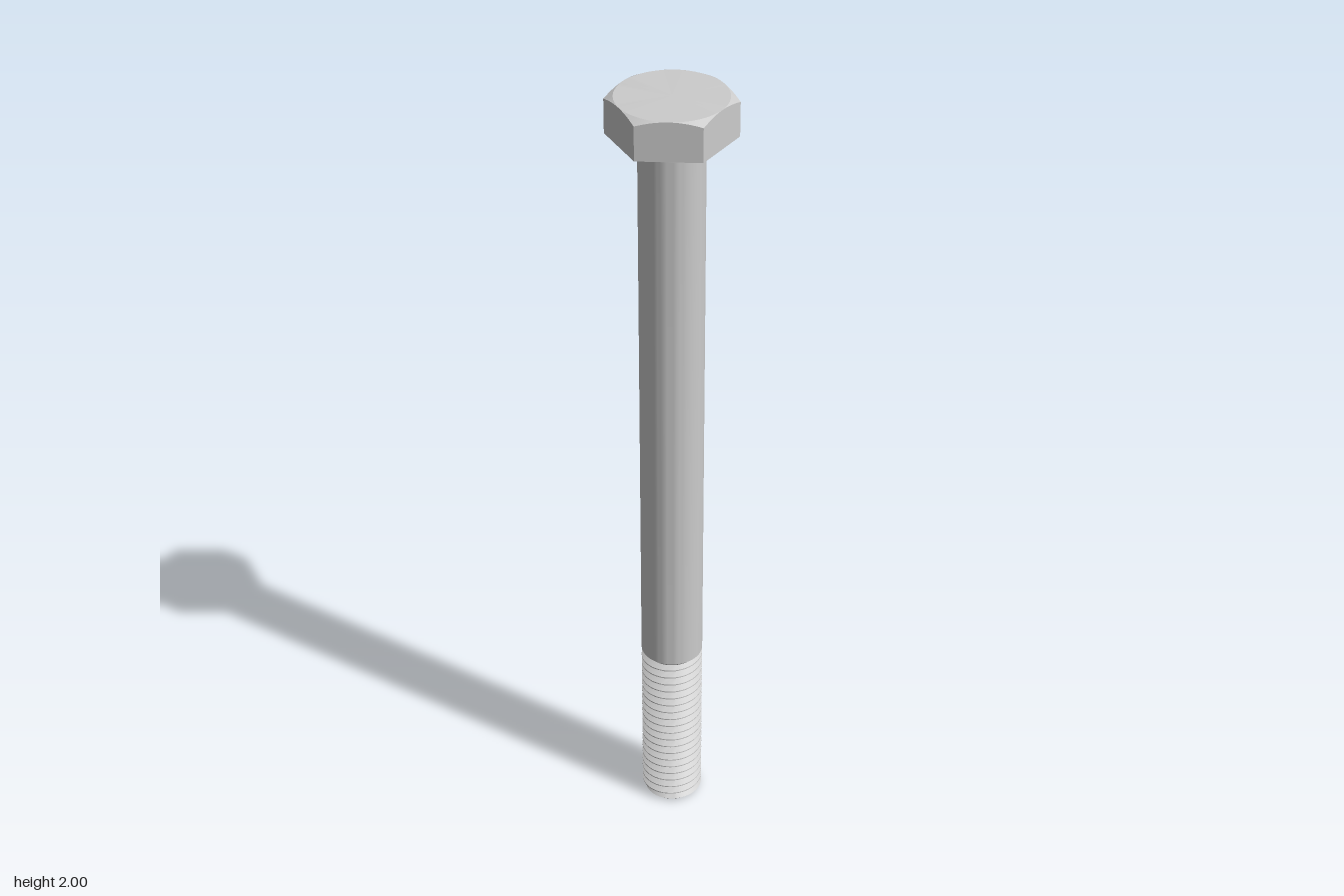
import * as THREE from 'three';
import { toCreasedNormals } from 'three/addons/utils/BufferGeometryUtils.js';

const TAU = Math.PI * 2;
const SHANK_R = 0.077, ROOT_R = 0.063, PITCH = 0.023, THREAD_TOP = 0.46;
const FLAT_R = 0.13, HEAD_BASE = 1.905;

// Skin a stack of rings, bottom to top; each ring maps an angle to [radius, height]
function loft(rings, segments, crease) {
  const pos = [], index = [], row = segments + 1;
  for (const ring of rings) {
    for (let j = 0; j <= segments; j++) {
      const t = (j / segments) * TAU;
      const [r, y] = ring(t);
      pos.push(r * Math.cos(t), y, -r * Math.sin(t));
    }
  }
  for (let i = 0; i < rings.length - 1; i++) {
    for (let j = 0; j < segments; j++) {
      const a = i * row + j, d = a + row;
      index.push(a, a + 1, d + 1, a, d + 1, d);
    }
  }
  const geo = new THREE.BufferGeometry();
  geo.setAttribute('position', new THREE.Float32BufferAttribute(pos, 3));
  geo.setIndex(index);
  return toCreasedNormals(geo, crease);
}

// Hexagon outline with corners on the x axis
const hexRadius = (t) => FLAT_R / Math.cos((t % (Math.PI / 3)) - Math.PI / 6);

// Tooth radius at a phase of 0..1 along one pitch
function toothRadius(phase) {
  const p = phase - Math.floor(phase);
  const climb = Math.min(1, Math.max(0, (0.5 - Math.abs(p - 0.5) - 0.1) / 0.34));
  return ROOT_R + (SHANK_R - ROOT_R) * climb;
}

export function createModel() {
  const group = new THREE.Group();
  group.name = 'hexBolt';
  const steel = new THREE.MeshStandardMaterial({ color: 0xcccccc });
  const add = (name, geometry) => {
    const mesh = new THREE.Mesh(geometry, steel);
    mesh.name = name;
    group.add(mesh);
  };

  // Hex head, its top corners cut by a 30 degree cone
  const chamferY = (r) => 2 - (r - FLAT_R) * Math.tan(Math.PI / 6);
  add('head', loft([
    () => [0, HEAD_BASE],
    (t) => [hexRadius(t), HEAD_BASE],
    (t) => [hexRadius(t), chamferY(hexRadius(t))],
    () => [FLAT_R - 0.001, 2],
    () => [0, 2],
  ], 96, 0.2));

  // Washer face, plain shank and the shoulder running down to the thread root
  const profile = [
    [ROOT_R - 0.002, THREAD_TOP - 0.012], [SHANK_R, THREAD_TOP + 0.004],
    [SHANK_R, 1.892], [SHANK_R + 0.003, 1.896],
    [0.115, 1.896], [0.115, HEAD_BASE],
  ];
  add('shank', loft(profile.map((p) => () => p), 64, 0.5));

  // Right-handed helical thread with a chamfered, closed tip
  const rings = [() => [0, 0]];
  const turns = Math.ceil(THREAD_TOP / PITCH);
  for (let k = -1; k <= turns; k++) {
    for (const phase of [0.1, 0.44, 0.56, 0.9]) {
      rings.push((t) => {
        const y = Math.min(THREAD_TOP, Math.max(0, (k + phase + t / TAU) * PITCH));
        return [Math.min(toothRadius(y / PITCH - t / TAU), 0.066 + y), y];
      });
    }
  }
  add('thread', loft(rings, 48, 0.5));

  return group;
}
